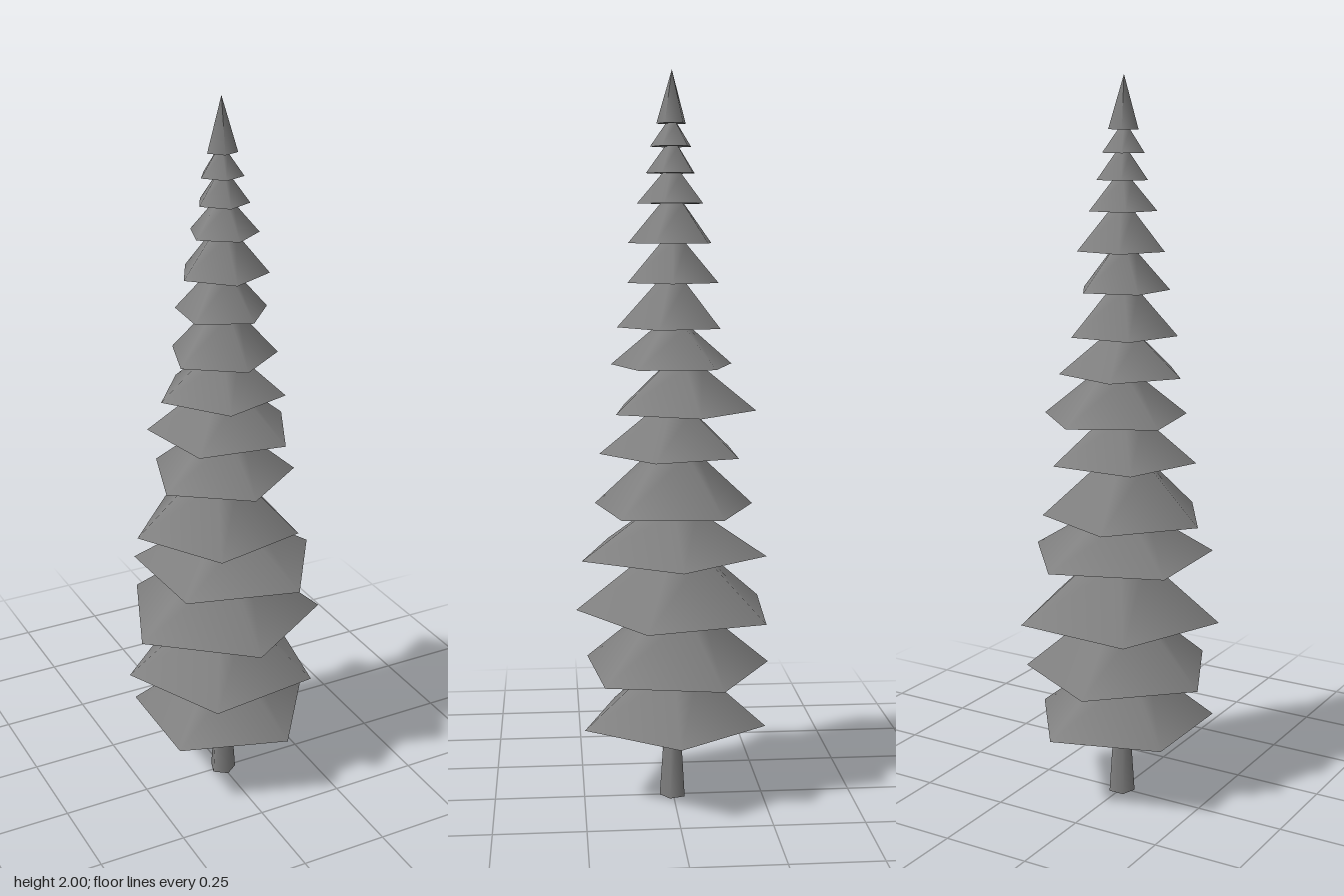
import * as THREE from 'three';

const SIDES = 5;
const TOP_RATIO = 0.28; // upper rim radius of a tier relative to its lower rim

// Foliage tiers from bottom to top: base height, radius, corner angle in degrees, centre x, centre z
const TIERS = [
  [0.22, 0.262, 0, 0, 0],
  [0.37, 0.272, 47, -0.003, -0.002],
  [0.535, 0.285, 21.5, -0.001, -0.016],
  [0.70, 0.265, -2.7, 0.011, 0.007],
  [0.82, 0.232, 41, -0.018, -0.002],
  [0.975, 0.204, 18, -0.004, -0.002],
  [1.095, 0.205, 62, 0.01, -0.02],
  [1.215, 0.175, 36, -0.006, 0],
  [1.32, 0.15, 18, -0.003, 0.002],
  [1.44, 0.128, 5, -0.002, 0],
  [1.545, 0.122, 27, 0, 0],
  [1.65, 0.095, 18, 0, 0.002],
  [1.73, 0.071, 27, -0.002, 0.002],
  [1.80, 0.059, 31, -0.006, 0.003],
  [1.86, 0.042, 31, -0.005, 0.003],
];
const HEIGHT = 2;

export function createModel() {
  const group = new THREE.Group();
  group.name = 'coniferTree';
  const grey = new THREE.MeshStandardMaterial({ color: 0x808080 });
  grey.name = 'plain grey';

  // Smooth-sided frustum standing on y0, with one corner at the given angle from +x towards +z
  const frustum = (name, y0, y1, bottom, top, angle, x, z) => {
    const geometry = new THREE.CylinderGeometry(top, bottom, y1 - y0, SIDES);
    const mesh = new THREE.Mesh(geometry, grey);
    mesh.name = name;
    mesh.position.set(x, (y0 + y1) / 2, z);
    mesh.rotation.y = THREE.MathUtils.degToRad(90 - angle);
    group.add(mesh);
  };

  // Trunk
  frustum('trunk', 0, TIERS[0][0], 0.038, 0.023, 18, 0, 0);

  // Stacked skirts of foliage, each reaching up to the next; the last ends in a point
  TIERS.forEach(([y, radius, angle, x, z], i) => {
    const last = i === TIERS.length - 1;
    const yTop = last ? HEIGHT : TIERS[i + 1][0];
    const name = last ? 'treeTip' : `foliageTier${i + 1}`;
    frustum(name, y, yTop, radius, last ? 0 : radius * TOP_RATIO, angle, x, z);
  });

  return group;
}
